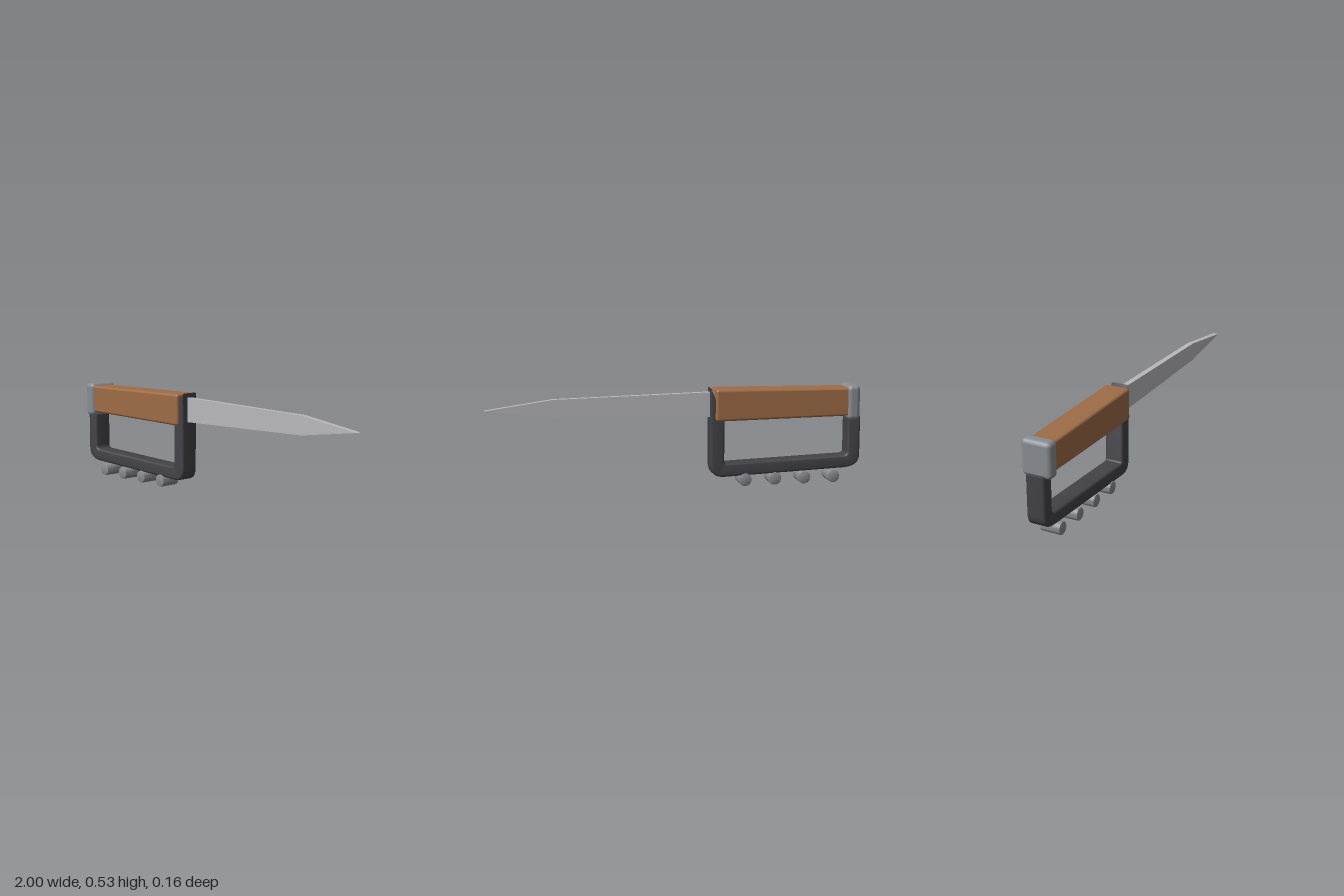
import * as THREE from 'three';
import { toCreasedNormals } from 'three/addons/utils/BufferGeometryUtils.js';
import { RoundedBoxGeometry } from 'three/addons/geometries/RoundedBoxGeometry.js';

function material(name, color) {
  const m = new THREE.MeshStandardMaterial({ color });
  m.name = name;
  return m;
}

// Extrudes a side profile to a total width centred on z = 0, bevelling inside the outline
function plate(shape, width, bevel, segments) {
  const geometry = new THREE.ExtrudeGeometry(shape, {
    depth: width - 2 * bevel, curveSegments: 8,
    bevelEnabled: true, bevelThickness: bevel, bevelSize: bevel, bevelOffset: -bevel, bevelSegments: segments,
  });
  geometry.translate(0, 0, bevel - width / 2);
  return toCreasedNormals(geometry, 0.6);
}

export function createModel() {
  const group = new THREE.Group();
  const wood = material('wood brown', 0x9e6c46);
  const dark = material('dark iron', 0x434247);
  const grey = material('grey steel', 0x888c91);
  const bright = material('blade steel', 0xb9b9be);

  const add = (name, geometry, mat) => {
    const mesh = new THREE.Mesh(geometry, mat);
    mesh.name = name;
    group.add(mesh);
    return mesh;
  };

  // Wooden grip, slightly taller towards the blade
  const grip = new RoundedBoxGeometry(0.76, 0.17, 0.138, 3, 0.014);
  const p = grip.attributes.position;
  for (let i = 0; i < p.count; i++) {
    p.setY(i, p.getY(i) * (0.94 + 0.16 * p.getX(i)));
  }
  grip.translate(-0.58, 0.44, 0);
  add('grip', grip, wood);

  // Pommel cap
  const pommel = new RoundedBoxGeometry(0.07, 0.188, 0.162, 2, 0.024);
  pommel.translate(-0.953, 0.436, 0);
  add('pommel', pommel, grey);

  // Hand guard: an open loop whose front leg rises to a point beside the blade
  const guard = new THREE.Shape();
  guard.moveTo(-1, 0.357);
  guard.lineTo(-1, 0.15);
  guard.quadraticCurveTo(-1, 0.083, -0.91, 0.079);
  guard.lineTo(-0.25, 0.053);
  guard.quadraticCurveTo(-0.177, 0.05, -0.177, 0.12);
  guard.lineTo(-0.177, 0.53);
  guard.lineTo(-0.25, 0.36);
  guard.lineTo(-0.25, 0.138);
  guard.quadraticCurveTo(-0.25, 0.124, -0.265, 0.1245);
  guard.lineTo(-0.905, 0.146);
  guard.quadraticCurveTo(-0.93, 0.147, -0.93, 0.165);
  guard.lineTo(-0.93, 0.372);
  guard.closePath();
  add('handGuard', plate(guard, 0.1, 0.011, 3), dark);

  // Straight blade tapering to a centred tip
  const blade = new THREE.Shape([
    [-0.23, 0.373], [0.65, 0.391], [1, 0.44], [0.65, 0.489], [-0.23, 0.507],
  ].map(([x, y]) => new THREE.Vector2(x, y)));
  const bladeGeometry = new THREE.ExtrudeGeometry(blade, { depth: 0.03, bevelEnabled: false });
  bladeGeometry.translate(0, 0, -0.015);
  add('blade', bladeGeometry, bright);

  // Knuckle studs across the underside of the guard
  const profile = [[0, -0.056], [0.029, -0.056], [0.0325, -0.0545], [0.034, -0.051],
    [0.034, 0.051], [0.0325, 0.0545], [0.029, 0.056], [0, 0.056]];
  const stud = toCreasedNormals(new THREE.LatheGeometry(
    profile.map(([r, y]) => new THREE.Vector2(r, y)), 24).rotateX(Math.PI / 2), 0.6);
  for (let i = 0; i < 4; i++) {
    add('knuckleStud' + (i + 1), stud, grey).position.set(-0.853 + i * 0.163, 0.035, 0);
  }

  return group;
}
